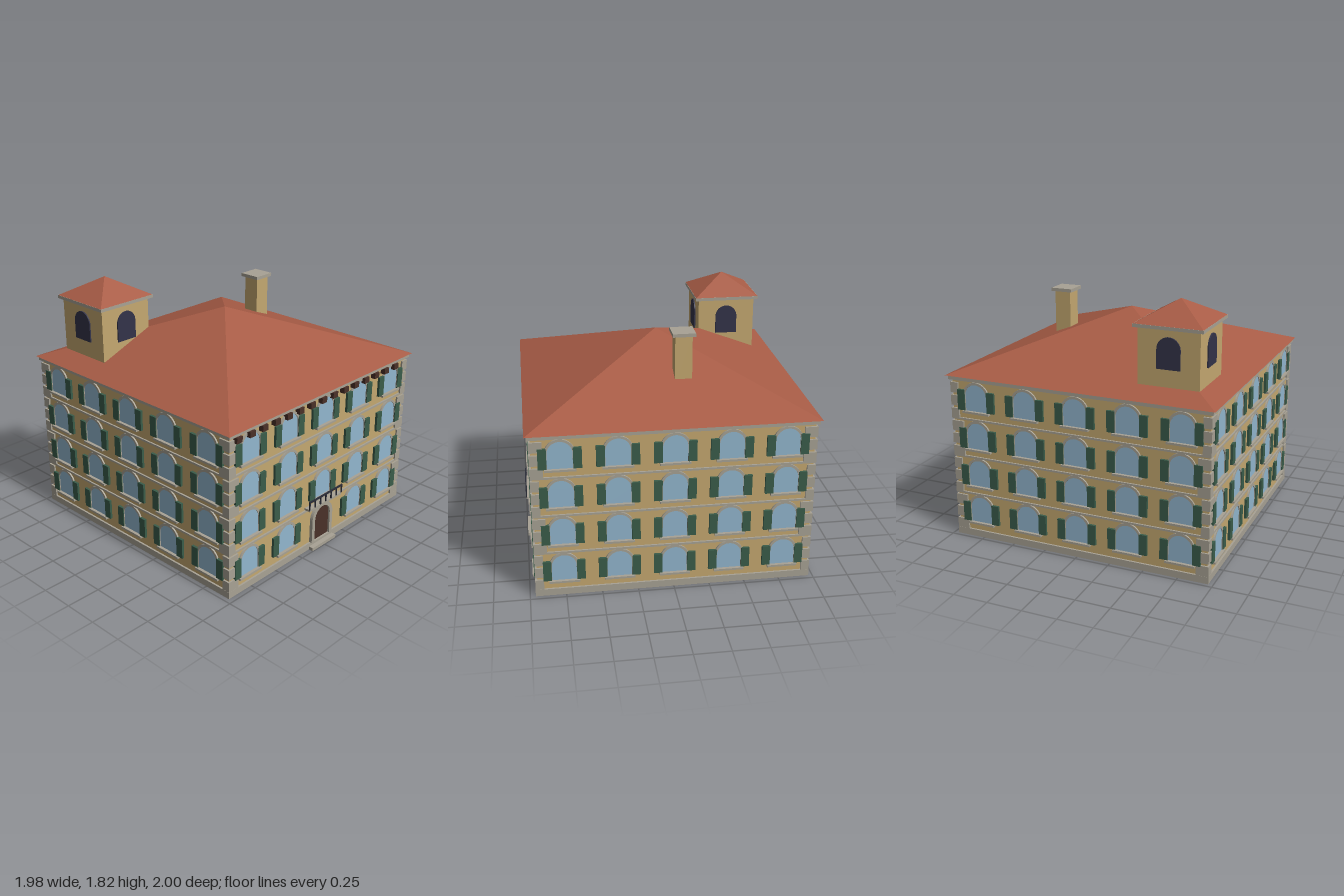
import * as THREE from 'three';

const mat = (name, color) => {
  const m = new THREE.MeshStandardMaterial({ color });
  m.name = name;
  return m;
};

export function createModel() {
  const plaster = mat('ochre plaster', 0xc4a870);
  const stone = mat('grey stone', 0xa8a294);
  const tile = mat('terracotta tile', 0xa85c46);
  const pane = mat('window glass', 0x92b6ce);
  const green = mat('green shutter', 0x3a5c4a);
  const wood = mat('dark wood', 0x4a3028);
  const shade = mat('dark opening', 0x333349);
  const iron = mat('wrought iron', 0x2a2c38);

  const model = new THREE.Group();
  model.name = 'townHouse';
  const house = new THREE.Group();
  house.name = 'house';
  house.position.z = -0.005;
  model.add(house);

  const add = (parent, name, geo, material, x = 0, y = 0, z = 0) => {
    const m = new THREE.Mesh(geo, material);
    m.name = name;
    m.position.set(x, y, z);
    parent.add(m);
    return m;
  };
  // Box given by centre x/z, bottom and top y
  const box = (parent, name, material, x, y0, y1, z, w, d) =>
    add(parent, name, new THREE.BoxGeometry(w, y1 - y0, d), material, x, (y0 + y1) / 2, z);

  // Round-headed outline
  const archPath = (path, half, bottom, spring) => {
    path.moveTo(-half, bottom);
    path.lineTo(half, bottom);
    path.lineTo(half, spring);
    path.absarc(0, spring, half, 0, Math.PI, false);
    path.lineTo(-half, bottom);
    return path;
  };
  const extrude = (shape, depth) =>
    new THREE.ExtrudeGeometry(shape, { depth, bevelEnabled: false, curveSegments: 12 });
  const archPlate = (half, bottom, spring, depth) =>
    extrude(archPath(new THREE.Shape(), half, bottom, spring), depth);
  const archFrame = (half, bottom, spring, border, depth) => {
    const s = archPath(new THREE.Shape(), half + border, bottom, spring);
    s.holes.push(archPath(new THREE.Path(), half, bottom + 0.002, spring));
    return extrude(s, depth);
  };
  // Four-sided hipped roof with flat faces
  const hipRoof = (half, height) => {
    const g = new THREE.ConeGeometry(half * Math.SQRT2, height, 4, 1).toNonIndexed();
    g.rotateY(Math.PI / 4);
    g.computeVertexNormals();
    return g;
  };

  const W = 0.953;      // half width of the walls
  const BASE = 0.05;
  const FLOOR = 0.2825;

  // Main body
  box(house, 'plinth', stone, 0, 0, BASE, 0, 1.934, 1.934);
  box(house, 'walls', plaster, 0, BASE, 1.18, 0, 2 * W, 2 * W);
  for (let f = 1; f < 4; f++) {
    const y = BASE + f * FLOOR;
    box(house, 'stringCourse', stone, 0, y - 0.007, y + 0.007, 0, 1.93, 1.93);
  }
  box(house, 'cornice', stone, 0, 1.18, 1.21, 0, 1.95, 1.95);
  add(house, 'mainRoof', hipRoof(0.991, 0.377), tile, 0, 1.3985, 0);

  // Corner stones, long and short sides alternating
  const step = FLOOR / 3;
  for (let i = 0; i < 12; i++) {
    const w = i % 2 ? 0.06 : 0.09, d = i % 2 ? 0.09 : 0.06;
    const y = BASE + i * step;
    for (const sx of [-1, 1]) for (const sz of [-1, 1]) {
      box(house, 'cornerStone', stone, sx * (0.966 - w / 2), y, y + step - 0.02, sz * (0.966 - d / 2), w, d);
    }
  }

  // Windows
  const frameGeo = archFrame(0.085, 0.112, 0.225, 0.017, 0.012);
  const glassGeo = archPlate(0.086, 0.112, 0.225, 0.006);
  const makeWindow = () => {
    const g = new THREE.Group();
    g.name = 'window';
    add(g, 'windowFrame', frameGeo, stone);
    add(g, 'windowGlass', glassGeo, pane);
    box(g, 'windowSill', stone, 0, 0.1, 0.115, 0.014, 0.21, 0.028);
    for (const s of [-1, 1]) box(g, 'shutter', green, s * 0.116, 0.117, 0.266, 0.009, 0.058, 0.018);
    return g;
  };
  for (let side = 0; side < 4; side++) {
    const facade = new THREE.Group();
    facade.name = ['frontFacade', 'leftFacade', 'backFacade', 'rightFacade'][side];
    facade.rotation.y = side * Math.PI / 2;
    house.add(facade);
    for (let f = 0; f < 4; f++) for (let c = -2; c <= 2; c++) {
      if (side === 0 && f === 0 && c === 0) continue;
      const w = makeWindow();
      w.position.set(c * 0.382, f * FLOOR, W);
      facade.add(w);
    }
  }

  // Eaves brackets along the front
  for (let i = 0; i < 15; i++) {
    box(house, 'eavesBracket', wood, -0.895 + i * 0.1207, 1.138, 1.18, 0.97, 0.05, 0.04);
  }

  // Entrance
  add(house, 'doorSurround', archFrame(0.084, BASE, 0.227, 0.03, 0.024), stone, 0, 0, W);
  add(house, 'door', archPlate(0.085, BASE, 0.227, 0.009), wood, 0, 0, W);
  box(house, 'doorStep', stone, 0, 0, 0.024, 0.975, 0.264, 0.055);

  // Balcony
  box(house, 'balconySlab', stone, 0, 0.342, 0.358, 0.975, 0.36, 0.05);
  box(house, 'balconyRail', iron, 0, 0.413, 0.424, 0.999, 0.37, 0.01);
  for (let i = -3; i <= 3; i++) {
    box(house, 'baluster', iron, i * 0.06, 0.358, 0.414, 0.999, 0.009, 0.008);
  }

  // Roof tower
  const tower = new THREE.Group();
  tower.name = 'tower';
  tower.position.set(-0.612, 0, -0.608);
  house.add(tower);
  box(tower, 'towerWalls', plaster, 0, 1.215, 1.66, 0, 0.43, 0.43);
  box(tower, 'towerCornice', stone, 0, 1.66, 1.683, 0, 0.484, 0.484);
  add(tower, 'towerRoof', hipRoof(0.24, 0.139), tile, 0, 1.7525, 0);
  const openingGeo = archPlate(0.082, 1.395, 1.528, 0.0095);
  for (let i = 0; i < 4; i++) {
    const side = new THREE.Group();
    side.name = 'towerSide';
    side.rotation.y = i * Math.PI / 2;
    tower.add(side);
    add(side, 'towerOpening', openingGeo, shade, 0, 0, 0.215);
  }

  // Chimney
  box(house, 'chimney', plaster, 0.476, 1.33, 1.69, -0.12, 0.12, 0.12);
  box(house, 'chimneyCap', stone, 0.476, 1.69, 1.714, -0.12, 0.16, 0.16);

  return model;
}
